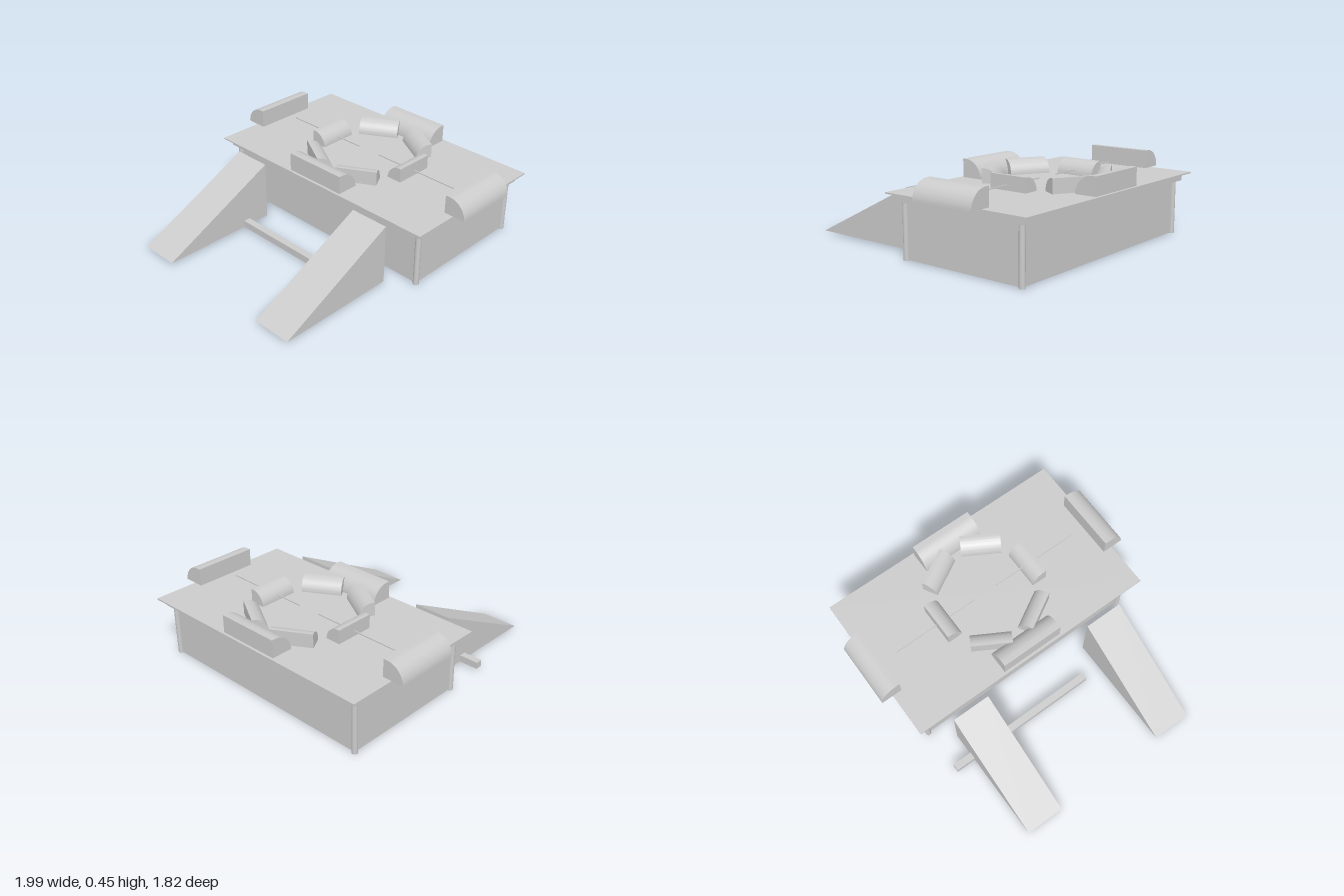
import * as THREE from 'three';
import { toCreasedNormals } from 'three/addons/utils/BufferGeometryUtils.js';

export function createModel() {
  const grey = new THREE.MeshStandardMaterial({ color: 0xcccccc });
  grey.name = 'light grey';

  const root = new THREE.Group();
  root.name = 'rampedPlatform';
  // Everything is laid out square, then turned as a whole
  const base = new THREE.Group();
  base.name = 'platformAssembly';
  base.position.set(0.295, 0, -0.05);
  base.rotation.y = 0.382;
  root.add(base);

  const add = (name, geometry, x = 0, y = 0, z = 0, turn = 0) => {
    const mesh = new THREE.Mesh(geometry, grey);
    mesh.name = name;
    mesh.position.set(x, y, z);
    mesh.rotation.y = turn;
    base.add(mesh);
    return mesh;
  };
  const box = (name, w, y0, y1, d, x = 0, z = 0) =>
    add(name, new THREE.BoxGeometry(w, y1 - y0, d), x, (y0 + y1) / 2, z);

  // Platform: body, rim, thin deck and corner posts
  box('body', 0.75, 0.003, 0.306, 1.37);
  box('rim', 0.824, 0.305, 0.345, 1.436);
  box('deck', 0.9, 0.345, 0.353, 1.5);
  for (const sx of [-1, 1]) for (const sz of [-1, 1])
    add('cornerPost', new THREE.CylinderGeometry(0.016, 0.016, 0.306, 20), sx * 0.375, 0.153, sz * 0.685);

  // Two wedge ramps on the right side
  const wedge = new THREE.Shape([
    new THREE.Vector2(-1.17, 0.01),
    new THREE.Vector2(-0.49, 0.01),
    new THREE.Vector2(-0.49, 0.346),
  ]);
  const rampGeometry = new THREE.ExtrudeGeometry(wedge, { depth: 0.225, bevelEnabled: false });
  rampGeometry.translate(0, 0, -0.1125);
  for (const s of [-1, 1]) add('ramp', rampGeometry, 0, 0, s * 0.452);

  // Low bar on the ground beside the ramps
  box('groundBar', 0.04, 0.01, 0.05, 0.91, -0.642, -0.226);

  // Block with one rounded edge (-x side) and a flat back (+x side)
  const bolster = (length, depth, height) => {
    const s = new THREE.Shape();
    s.moveTo(depth / 2, 0);
    s.lineTo(depth / 2, height);
    s.lineTo(height - depth / 2, height);
    s.absarc(height - depth / 2, 0, height, Math.PI / 2, Math.PI, false);
    s.closePath();
    const g = new THREE.ExtrudeGeometry(s, { depth: length, bevelEnabled: false, curveSegments: 16 });
    g.translate(0, 0, -length / 2);
    return toCreasedNormals(g, 0.5);
  };
  const place = (name, geometry, radius, angle, flip = 0) =>
    add(name, geometry, radius * Math.cos(angle), 0.353, -radius * Math.sin(angle), angle + flip);

  // Large blocks: sides curve inward, ends curve outward
  const large = bolster(0.375, 0.124, 0.102);
  for (const k of [0, 1]) {
    place('sideBlock', large, 0.373, k * Math.PI);
    place('endBlock', large, 0.757, Math.PI * (k + 0.5), Math.PI);
  }

  // Ring of six small blocks curving inward
  const small = bolster(0.23, 0.09, 0.08);
  for (let i = 0; i < 6; i++) place('ringBlock', small, 0.289, Math.PI / 2 + (i * Math.PI) / 3);

  // Thin rods passing through the front and back ring blocks
  for (const s of [-1, 1]) box('thinRod', 0.006, 0.379, 0.385, 0.53, 0, s * 0.34);

  return root;
}
